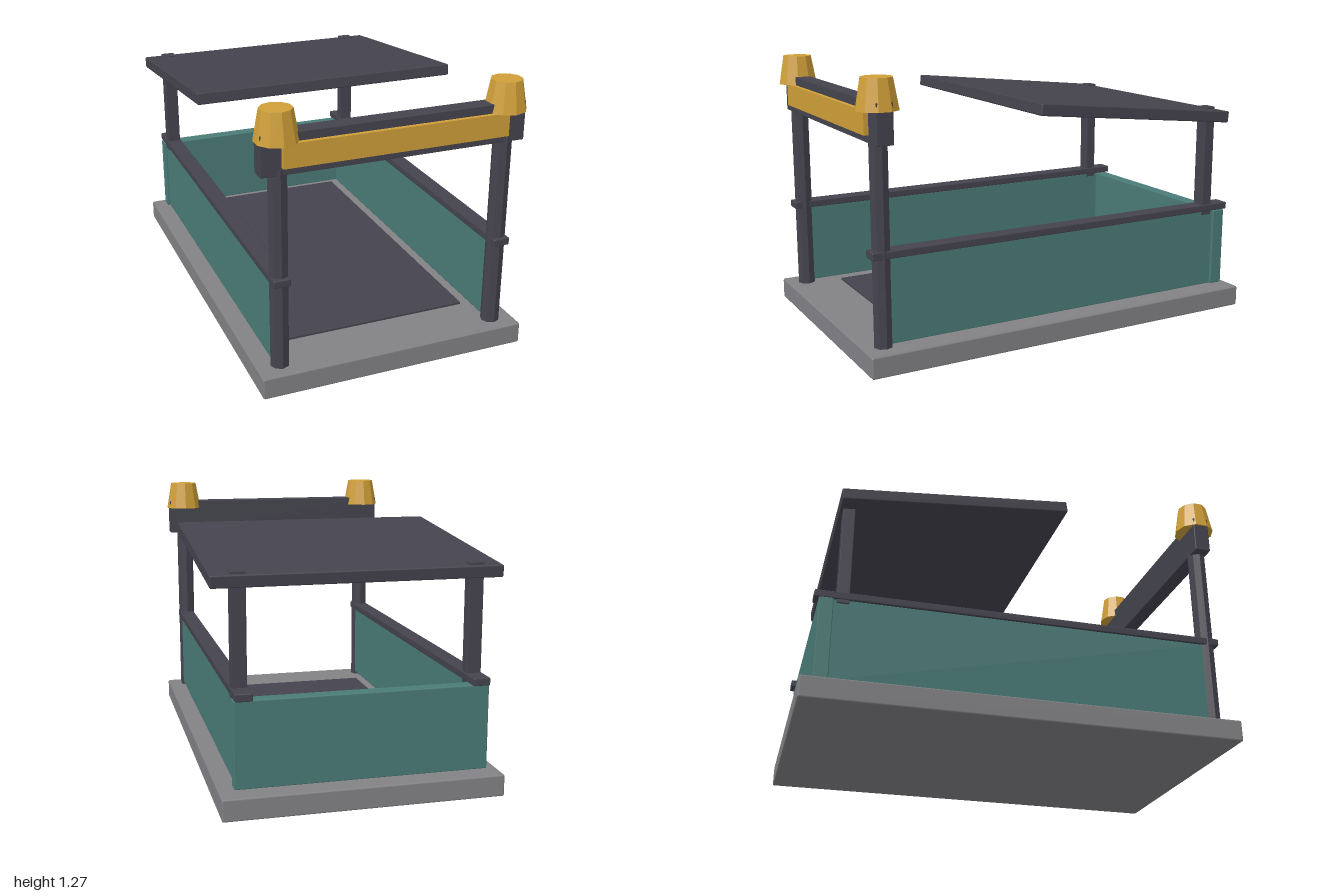
import * as THREE from 'three';
import { RoundedBoxGeometry } from 'three/addons/geometries/RoundedBoxGeometry.js';

const mat = (name, color, flatShading = false) => {
  const m = new THREE.MeshStandardMaterial({ color, flatShading });
  m.name = name;
  return m;
};

export function createModel() {
  const group = new THREE.Group();
  const dark = mat('charcoal', 0x45444e);
  const darkFlat = dark.clone();
  darkFlat.flatShading = true;
  const grey = mat('stone grey', 0x828286);
  const teal = mat('teal panel', 0x4a7b77);
  const gold = mat('gold', 0xd09f39, true);

  const add = (name, geometry, material, x, y, z) => {
    const mesh = new THREE.Mesh(geometry, material);
    mesh.name = name;
    mesh.position.set(x, y, z);
    group.add(mesh);
    return mesh;
  };
  // Box given by its min and max on each axis, with softly chamfered edges
  const box = (name, material, [x0, x1], [y0, y1], [z0, z1], bevel = 0) => {
    const size = [x1 - x0, y1 - y0, z1 - z0];
    const geometry = bevel
      ? new RoundedBoxGeometry(...size, 1, bevel)
      : new THREE.BoxGeometry(...size);
    return add(name, geometry, material, (x0 + x1) / 2, (y0 + y1) / 2, (z0 + z1) / 2);
  };

  // Base slab and floor mat
  box('base', grey, [-0.63, 0.63], [0, 0.1], [-1, 1], 0.008);
  box('floorMat', dark, [-0.46, 0.46], [0.098, 0.109], [-0.87, 0.74]);

  // Back wall
  box('backWall', teal, [-0.567, 0.567], [0.115, 0.5], [-0.94, -0.875], 0.005);

  // Parts mirrored on both sides
  for (const s of [1, -1]) {
    const side = s > 0 ? 'left' : 'right';
    const span = (a, b) => (s > 0 ? [a, b] : [-b, -a]);
    box(side + 'Wall', teal, span(0.493, 0.553), [0.115, 0.502], [-0.88, 0.885], 0.005);
    box(side + 'Rail', dark, span(0.486, 0.563), [0.5, 0.535], [-0.96, 0.96], 0.005);
    box(side + 'RearPost', dark, span(0.492, 0.559), [0.483, 1.03], [-0.862, -0.806], 0.004);
    add(side + 'FrontPost', new THREE.CylinderGeometry(0.043, 0.043, 0.92, 8), darkFlat,
      s * 0.522, 0.56, 0.905);
    add(side + 'PostCap', new THREE.CylinderGeometry(0.07, 0.095, 0.138, 10), gold,
      s * 0.524, 1.204, 0.905);
  }

  // Front crossbeam with sign plate
  box('crossbeam', dark, [-0.606, 0.606], [0.995, 1.175], [0.866, 0.943], 0.004);
  box('signPlate', gold, [-0.516, 0.516], [1.03, 1.135], [0.94, 0.964]);

  // Tilted canopy, rising toward the front
  const canopy = add('canopy', new RoundedBoxGeometry(1.29, 0.055, 1.07, 1, 0.006), dark,
    0, 1.043, -0.346);
  canopy.rotation.x = -0.104;

  return group;
}
